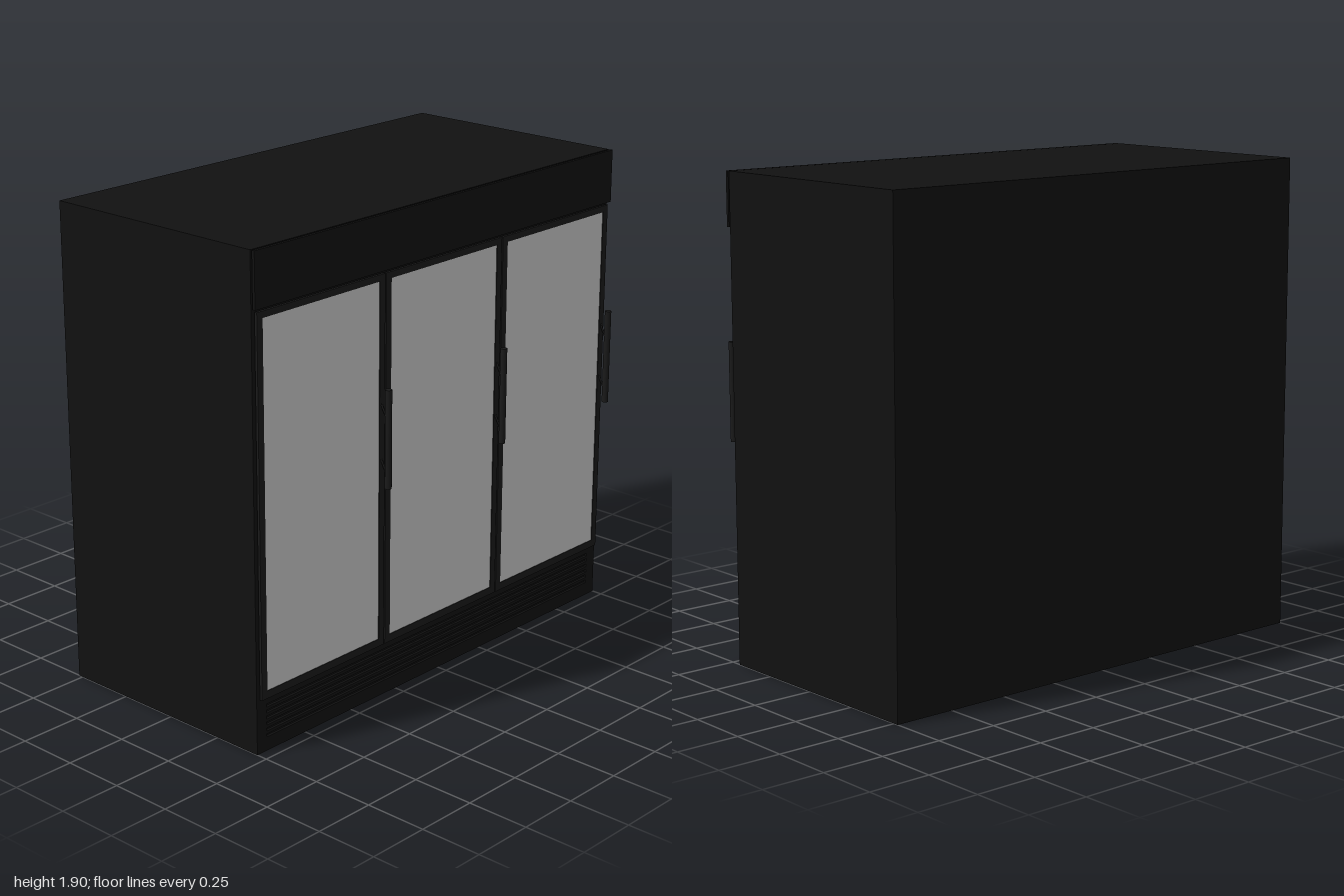
import * as THREE from 'three';

const mat = (color) => new THREE.MeshStandardMaterial({ color });

export function createModel() {
  const root = new THREE.Group();
  const black = mat(0x111111), trim = mat(0x1a1a1a), glass = mat(0xcccccc);

  const add = (parent, name, geometry, material) => {
    const mesh = new THREE.Mesh(geometry, material);
    mesh.name = name;
    parent.add(mesh);
    return mesh;
  };
  // Box given by its lower and upper corners
  const box = (parent, name, a, b, material) =>
    add(parent, name, new THREE.BoxGeometry(b[0] - a[0], b[1] - a[1], b[2] - a[2]), material)
      .position.set((a[0] + b[0]) / 2, (a[1] + b[1]) / 2, (a[2] + b[2]) / 2);
  // Rectangle outline in a panel's own plane
  const rect = (Type, w, y0, y1) => new Type([
    [-w, y0], [w, y0], [w, y1], [-w, y1],
  ].map(([x, y]) => new THREE.Vector2(x, y)));
  // Flat panel with holes, turned to face +x with its back at x
  const panel = (parent, name, shape, holes, depth, x, z, material) => {
    shape.holes.push(...holes);
    const g = new THREE.ExtrudeGeometry(shape, { depth, bevelEnabled: false });
    g.rotateY(Math.PI / 2);
    add(parent, name, g, material).position.set(x, 0, z);
  };

  // Cabinet and its front face with louvre slots
  box(root, 'cabinet', [-0.52, 0, -1], [0.445, 1.9, 1], black);
  const slots = [];
  for (let i = 0; i < 6; i++) {
    const y = 0.055 + i * 0.024;
    slots.push(rect(THREE.Path, 0.95, y, y + 0.012));
  }
  panel(root, 'frontGrille', rect(THREE.Shape, 1, 0, 1.9), slots, 0.01, 0.445, 0, black);

  // Header panel with lips reaching back to the cabinet
  const header = new THREE.Group();
  header.name = 'header';
  root.add(header);
  box(header, 'headerPanel', [0.463, 1.69, -1], [0.475, 1.9, 1], black);
  box(header, 'headerTopLip', [0.455, 1.88, -0.99], [0.463, 1.895, 0.99], black);
  box(header, 'headerBottomLip', [0.455, 1.69, -0.99], [0.463, 1.697, 0.99], black);

  // Three glazed doors, each with a bar handle on the same side
  for (let i = 0; i < 3; i++) {
    const door = new THREE.Group();
    door.name = 'door' + (i + 1);
    door.position.z = 0.663 - i * 0.66;
    root.add(door);
    panel(door, 'doorFrame', rect(THREE.Shape, 0.327, 0.22, 1.68),
      [rect(THREE.Path, 0.299, 0.25, 1.655)], 0.011, 0.462, 0, trim);
    box(door, 'doorGlass', [0.464, 0.25, -0.299], [0.47, 1.655, 0.299], glass);

    const handle = new THREE.Group();
    handle.name = 'handle';
    handle.position.set(0.506, 1.058, -0.311);
    door.add(handle);
    add(handle, 'handleBar', new THREE.CylinderGeometry(0.013, 0.013, 0.385, 16), trim);
    for (const y of [0.105, -0.11]) {
      const path = new THREE.LineCurve3(
        new THREE.Vector3(-0.036, y + 0.025, 0), new THREE.Vector3(-0.004, y - 0.035, 0));
      add(handle, 'handlePost', new THREE.TubeGeometry(path, 1, 0.004, 8), trim);
    }
  }
  return root;
}
